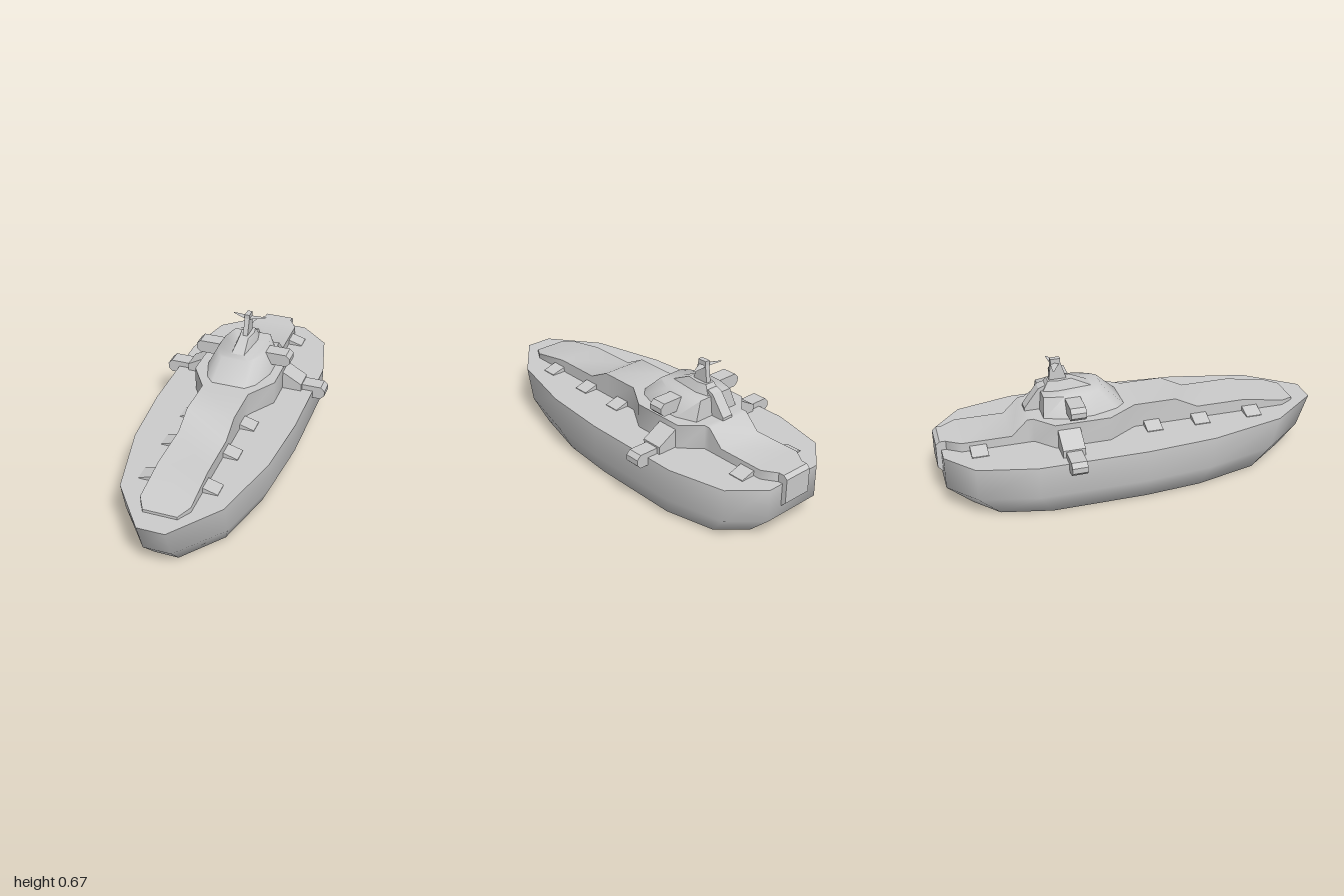
import * as THREE from 'three';
import { toCreasedNormals } from 'three/addons/utils/BufferGeometryUtils.js';

const material = new THREE.MeshStandardMaterial({ color: 0xcccccc });

// Closed solid through convex rings with equal point counts; faces are turned outward.
function loft(rings, crease = 1.2) {
  const n = rings[0].length, last = (rings.length - 1) * n, index = [];
  for (let r = 0; r < rings.length - 1; r++) {
    for (let i = 0; i < n; i++) {
      const a = r * n + i, b = r * n + (i + 1) % n;
      index.push(a, b, b + n, a, b + n, a + n);
    }
  }
  for (let i = 1; i < n - 1; i++) {
    index.push(0, i + 1, i, last, last + i, last + i + 1);
  }
  const p = rings.flat().map((v) => new THREE.Vector3(...v));
  let volume = 0;
  for (let i = 0; i < index.length; i += 3) {
    const [a, b, c] = [p[index[i]], p[index[i + 1]], p[index[i + 2]]];
    volume += a.dot(b.clone().cross(c));
  }
  if (volume < 0) index.reverse();
  const g = new THREE.BufferGeometry().setFromPoints(p);
  g.setIndex(index);
  return toCreasedNormals(g, crease);
}

// Mirrored outline [x, z] (front to back) placed at height y.
const ring = (half, y) => [
  ...half.map(([x, z]) => [x, y, z]),
  ...half.slice().reverse().map(([x, z]) => [-x, y, z]),
];

// Profile extruded to the given depth, centred on its own plane.
function prism(points, depth) {
  const shape = new THREE.Shape(points.map(([x, y]) => new THREE.Vector2(x, y)));
  return new THREE.ExtrudeGeometry(shape, { depth, bevelEnabled: false }).translate(0, 0, -depth / 2);
}
// Side profile [z, y] extruded across x.
const sidePrism = (points, width) => prism(points, width).rotateY(-Math.PI / 2);

export function createModel() {
  const model = new THREE.Group();
  model.name = 'patrolShip';
  const add = (name, geometry) => {
    const mesh = new THREE.Mesh(geometry, material);
    mesh.name = name;
    model.add(mesh);
    return mesh;
  };

  // Hull: deck edge, chine and flat bottom
  const deck = [[0.07, 1], [0.26, 0.75], [0.355, 0.36], [0.384, 0], [0.384, -0.55], [0.315, -0.84], [0.16, -0.975]];
  const scaled = (sx, front, back) => deck.map(([x, z]) => [x * sx, z * (z > 0 ? front : back)]);
  add('hull', loft([
    ring(scaled(0.855, 0.83, 0.872), 0),
    ring(scaled(1, 0.94, 1), 0.122),
    ring(deck, 0.29),
  ]));

  // Superstructure: [z, half width, top height]
  const sections = [
    [0.89, 0.085, 0.305], [0.82, 0.125, 0.317], [0.6, 0.125, 0.355], [0.34, 0.125, 0.355],
    [0.22, 0.125, 0.416], [0, 0.125, 0.416], [-0.15, 0.22, 0.416], [-0.43, 0.22, 0.416],
    [-0.52, 0.125, 0.416], [-0.55, 0.125, 0.416], [-0.63, 0.125, 0.337], [-0.88, 0.125, 0.337], [-0.95, 0.08, 0.337],
  ];
  add('superstructure', loft(sections.map(([z, w, top]) =>
    [[-w, 0.27, z], [w, 0.27, z], [w, top, z], [-w, top, z]]), 1));

  // Stern block hanging over the transom
  add('sternBlock', sidePrism(
    [[-0.93, 0.337], [-0.98, 0.337], [-1, 0.32], [-1, 0.195], [-0.97, 0.165], [-0.93, 0.165]], 0.156));

  // Bridge, cupola and the box behind them
  add('bridge', loft([
    ring([[0.09, -0.04], [0.135, -0.09], [0.176, -0.22], [0.176, -0.36], [0.135, -0.47]], 0.41),
    ring([[0.07, -0.15], [0.095, -0.18], [0.125, -0.25], [0.125, -0.36], [0.1, -0.46]], 0.515),
  ]));
  add('cupola', loft([
    ring([[0.035, -0.195], [0.055, -0.38], [0.04, -0.45]], 0.512),
    ring([[0.025, -0.3], [0.036, -0.37], [0.026, -0.42]], 0.562),
  ], 0.8));
  add('rearHousing', sidePrism(
    [[-0.4, 0.54], [-0.445, 0.54], [-0.47, 0.53], [-0.545, 0.43], [-0.545, 0.41], [-0.4, 0.41]], 0.06));

  // Mast with thin swept radar blades
  add('mast', sidePrism(
    [[-0.32, 0.555], [-0.35, 0.65], [-0.35, 0.672], [-0.4, 0.672], [-0.4, 0.65], [-0.412, 0.555]], 0.026));
  for (const s of [-1, 1]) {
    const tip = [s * 0.091, 0.645, -0.402];
    add('radarBlade', loft([
      [[0, 0.639, -0.375], [0, 0.645, -0.35], [0, 0.651, -0.375], [0, 0.645, -0.4]],
      [[0, -0.001, 0], [0, 0, 0.004], [0, 0.001, 0], [0, 0, -0.004]].map((d) => d.map((v, i) => v + tip[i])),
    ], 0.5));
  }

  // Chamfered gun pod profile from inner x to outer x
  const pod = (s, inner, outer, low, high) => {
    const c = 0.021;
    return prism([[inner, low], [outer - c, low], [outer, low + c], [outer, high - c], [outer - c, high], [inner, high]]
      .map(([x, y]) => [s * x, y]), 0.078);
  };

  for (const s of [-1, 1]) {
    add('upperPod', pod(s, 0.1, 0.261, 0.44, 0.508)).position.z = -0.32;
    add('lowerPod', pod(s, 0.29, 0.449, 0.25, 0.32)).position.z = -0.364;
    add('sponson', prism([[0.18, 0.28], [0.324, 0.28], [0.324, 0.328], [0.22, 0.387], [0.18, 0.387]]
      .map(([x, y]) => [s * x, y]), 0.112)).position.z = -0.362;

    // Sloped deck lockers along the superstructure
    for (const z of [0.63, 0.345, 0.09, -0.8]) {
      add('deckLocker', prism([[0.1, 0.28], [0.2, 0.28], [0.2, 0.294], [0.125, 0.316], [0.1, 0.316]]
        .map(([x, y]) => [s * x, y]), 0.083)).position.z = z;
    }
  }
  return model;
}
